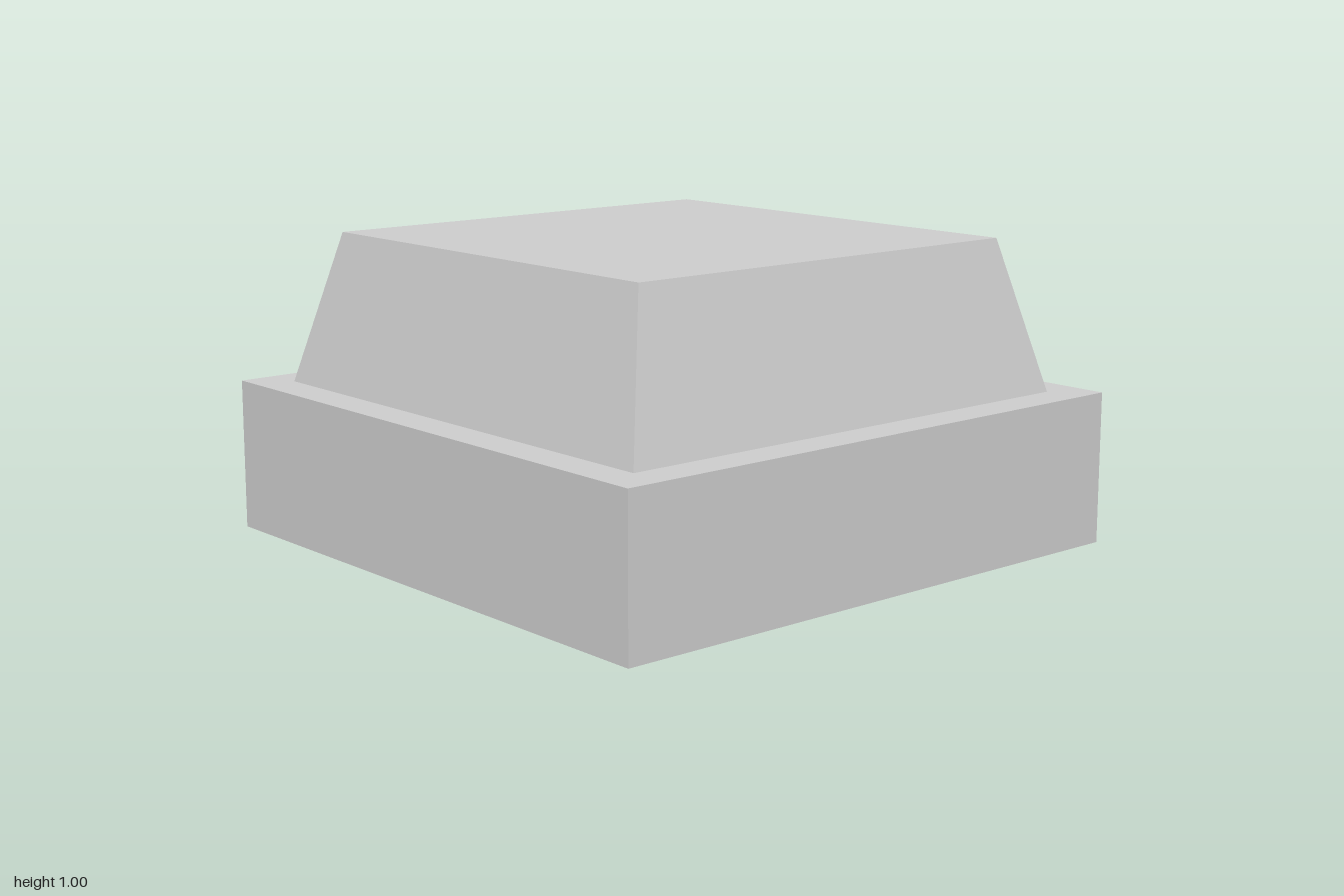
import * as THREE from 'three';

const material = new THREE.MeshStandardMaterial({
  color: 0xcccccc, flatShading: true, side: THREE.DoubleSide,
});

// Thin-walled square shell, open underneath, tapering from bottom to top width
function openShell(name, bottomWidth, topWidth, height, y) {
  const geometry = new THREE.BoxGeometry(bottomWidth, height, bottomWidth);
  geometry.translate(0, height / 2, 0);

  // Narrow the upper corners
  const position = geometry.attributes.position;
  const taper = topWidth / bottomWidth;
  for (let i = 0; i < position.count; i++) {
    if (position.getY(i) > height / 2) {
      position.setX(i, position.getX(i) * taper);
      position.setZ(i, position.getZ(i) * taper);
    }
  }

  // Leave out the underside (the fourth of the box's six faces)
  const index = Array.from(geometry.index.array);
  index.splice(18, 6);
  geometry.setIndex(index);
  geometry.clearGroups();
  geometry.computeVertexNormals();

  const mesh = new THREE.Mesh(geometry, material);
  mesh.name = name;
  mesh.position.y = y;
  return mesh;
}

export function createModel() {
  const model = new THREE.Group();
  model.name = 'steppedBlock';
  model.add(
    openShell('base', 2, 2, 0.5, 0),
    openShell('taperedTop', 1.75, 1.5, 0.5, 0.5),
  );
  return model;
}
